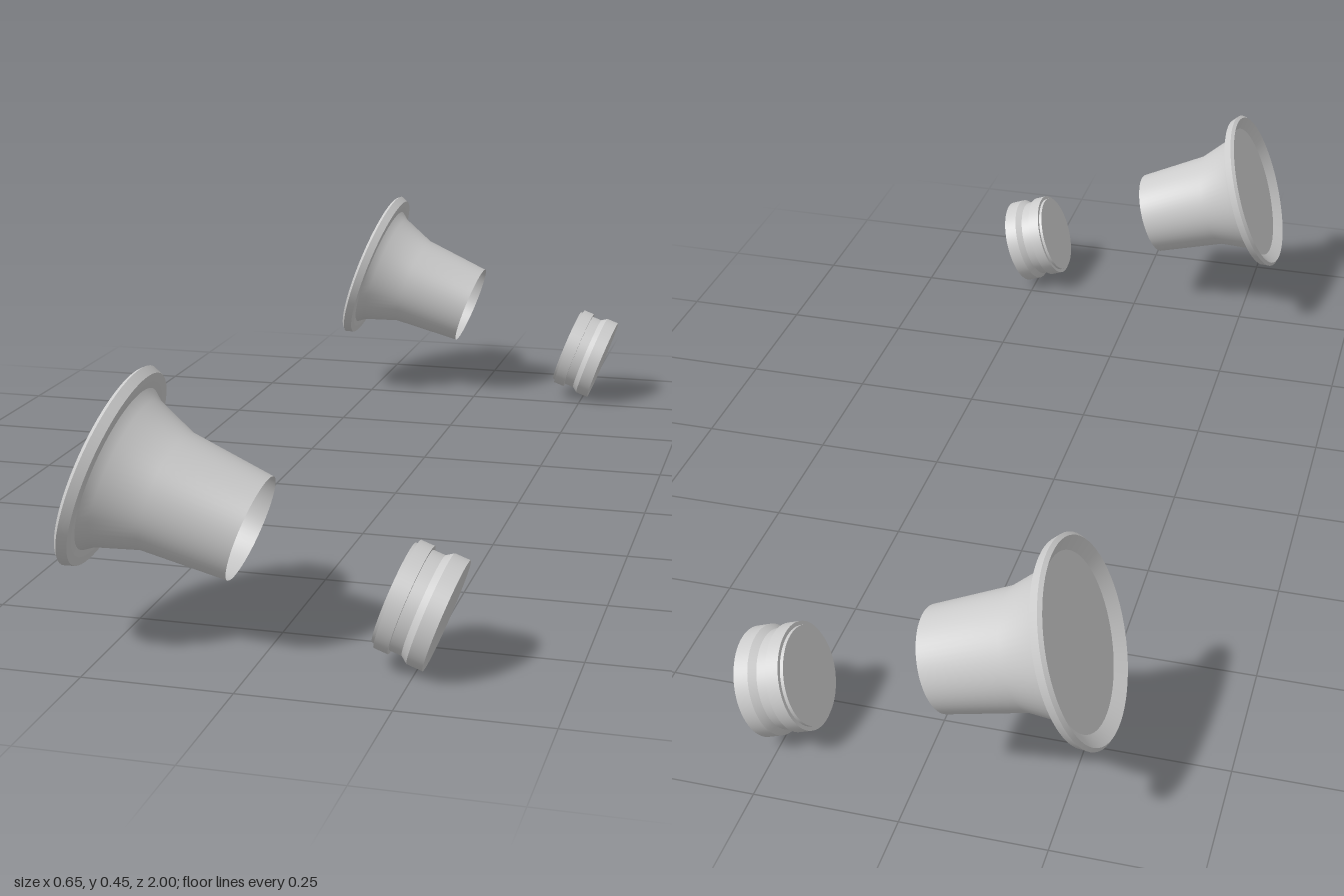
import * as THREE from 'three';
import { mergeGeometries } from 'three/addons/utils/BufferGeometryUtils.js';

const SIDES = 64;

// Revolves several profiles of [radius, distance along axis]; edges between profiles stay sharp
function revolve(profiles) {
  return mergeGeometries(profiles.map((p) =>
    new THREE.LatheGeometry(p.map(([r, t]) => new THREE.Vector2(r, t)), SIDES)));
}

// Splits a profile into single bands so every edge is hard
function bands(points) {
  return points.slice(1).map((p, i) => [points[i], p]);
}

export function createModel() {
  const model = new THREE.Group();
  const grey = new THREE.MeshStandardMaterial({ color: 0xcccccc, side: THREE.DoubleSide });
  grey.name = 'light grey';

  // Rim: recessed closing disc, dished front, rounded edge and back face
  const rim = revolve([
    [[0, 0.016], [0.146, 0.016]],
    [[0.146, 0.016], [0.168, 0]],
    [[0.168, 0], [0.174, 0.006]],
    [[0.174, 0.006], [0.168, 0.022]],
    [[0.168, 0.022], [0.153, 0.022]],
    [[0.153, 0.022], [0.141, 0.021]],
  ]);

  // Flared neck, open at the narrow end
  const neck = revolve([[[0.141, 0.021], [0.129, 0.037], [0.1025, 0.109], [0.09, 0.258]]]);

  // Stepped plug, closed at both ends
  const plug = revolve(bands([
    [0, 0.507], [0.085, 0.507], [0.085, 0.513], [0.092, 0.513], [0.092, 0.537],
    [0.0855, 0.537], [0.0855, 0.558], [0.094, 0.57], [0.094, 0.597], [0, 0.597],
  ]));

  // One tilted unit on each side
  for (const [side, z] of [['left', -0.826], ['right', 0.826]]) {
    const unit = new THREE.Group();
    unit.name = z > 0 ? 'frontUnit' : 'backUnit';
    for (const [name, geometry] of [['rim', rim], ['neck', neck], ['plug', plug]]) {
      const mesh = new THREE.Mesh(geometry, grey);
      mesh.name = name;
      unit.add(mesh);
    }
    unit.position.set(-0.268, 0.293, z);
    unit.rotation.z = THREE.MathUtils.degToRad(-110);
    model.add(unit);
  }
  return model;
}
